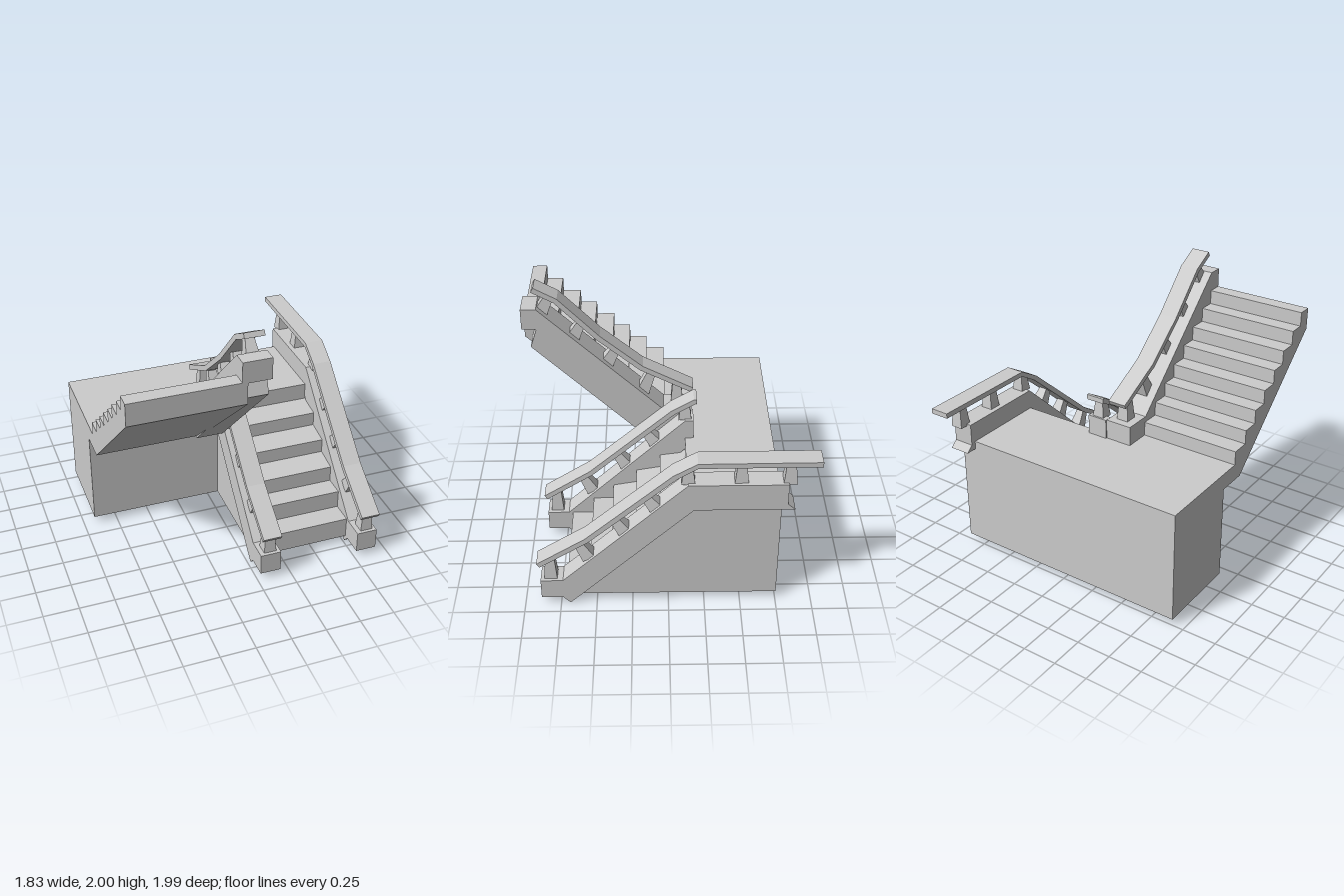
import * as THREE from 'three';

export function createModel() {
  const model = new THREE.Group();
  model.name = 'staircase';
  const stone = new THREE.MeshStandardMaterial({ color: 0xcccccc, flatShading: true });
  stone.name = 'grey stone';

  // Extrudes a [z, y] side profile from x0 to x1.
  function slab(name, profile, x0, x1) {
    const shape = new THREE.Shape(profile.map(([z, y]) => new THREE.Vector2(-z, y)));
    const geo = new THREE.ExtrudeGeometry(shape, { depth: x1 - x0, bevelEnabled: false });
    geo.rotateY(Math.PI / 2).translate(x0, 0, 0);
    const mesh = new THREE.Mesh(geo, stone);
    mesh.name = name;
    model.add(mesh);
  }

  // Handrail: a thin strip following the [z, y] points of its top.
  function rail(name, path, x0, x1) {
    const t = 0.037;
    const under = path.map(([z, y], i) => {
      const a = path[Math.max(i - 1, 0)], b = path[Math.min(i + 1, path.length - 1)];
      const dz = b[0] - a[0], dy = b[1] - a[1], l = Math.hypot(dz, dy);
      const s = dz < 0 ? 1 : -1;
      return [z + (s * dy / l) * -t, y + (s * dz / l) * t];
    });
    slab(name, [...path, ...under.reverse()], x0, x1);
  }

  // Tapered square baluster between two [z, y] points.
  function baluster(x, [z0, y0], [z1, y1]) {
    const dir = new THREE.Vector3(0, y1 - y0, z1 - z0);
    const geo = new THREE.CylinderGeometry(0.03 * Math.SQRT2, 0.046 * Math.SQRT2, dir.length(), 4);
    geo.rotateY(Math.PI / 4);
    const mesh = new THREE.Mesh(geo, stone);
    mesh.name = 'baluster';
    mesh.position.set(x, (y0 + y1) / 2, (z0 + z1) / 2);
    mesh.rotation.x = Math.atan2(dir.z, dir.y);
    model.add(mesh);
  }

  // Lower flight
  slab('lowerSteps', [
    [-0.4, 0.055], [0.70, 0.055], [0.70, 0.21], [0.54, 0.21], [0.54, 0.345], [0.39, 0.345],
    [0.39, 0.465], [0.22, 0.495], [0.22, 0.60], [0.05, 0.63], [0.05, 0.735],
    [-0.13, 0.76], [-0.13, 0.885], [-0.4, 0.885],
  ], 0.06, 0.875);

  // Landing
  slab('landing', [[-0.755, 0.055], [-0.13, 0.055], [-0.13, 0.885], [-0.755, 0.885]], -0.92, 0.875);

  // Upper flight rising to the front, with sloped underside
  const treads = [0.01, 0.145, 0.27, 0.39, 0.52, 0.64, 0.77, 0.885, 0.99];
  const upper = [[-0.13, 0.76], [-0.13, 0.885]];
  for (let i = 0; i < 8; i++) {
    const y = 0.885 + i * 0.103;
    upper.push([treads[i], y], [treads[i], y + 0.103]);
  }
  upper.push([0.99, 1.709], [0.99, 1.55], [0.09, 0.76]);
  slab('upperSteps', upper, -0.92, -0.14);

  // Stringers
  const foot = [[-0.17, 0.825], [0.685, 0.003], [0.735, 0.055], [0.885, 0.055],
    [0.885, 0.21], [0.73, 0.21], [-0.13, 1.03]];
  slab('leftStringer', [...foot, [-0.79, 1.03], [-0.79, 0.87], [-0.84, 0.825]], 0.762, 0.912);
  slab('innerStringer', [...foot, [-0.19, 1.03], [-0.19, 0.825]], 0.022, 0.172);
  slab('upperStringer', [[-0.18, 0.74], [-0.18, 1.03], [0.02, 1.03], [0.885, 1.85], [0.99, 1.85],
    [0.99, 1.70], [0.89, 1.695], [0.935, 1.56], [0.09, 0.74]], -0.178, 0.021);

  // Handrails
  const lowerRail = [[0.905, 0.363], [0.565, 0.583], [-0.03, 1.11], [-0.19, 1.205]];
  rail('leftHandrail', [...lowerRail, [-1.0, 1.21]], 0.775, 0.912);
  rail('innerHandrail', [...lowerRail, [-0.21, 1.205]], 0.03, 0.167);
  rail('upperHandrail', [[0.895, 2.0], [0.74, 1.915], [0.46, 1.625], [0.165, 1.378], [-0.19, 1.195]], -0.14, -0.003);

  // Balusters of the lower rails
  for (const x of [0.1, 0.843]) {
    baluster(x, [0.815, 0.205], [0.815, 0.39]);
    baluster(x, [0.545, 0.385], [0.617, 0.51]);
    baluster(x, [0.295, 0.615], [0.367, 0.72]);
    baluster(x, [0.085, 0.82], [0.155, 0.91]);
    baluster(x, [-0.13, 1.02], [-0.13, 1.15]);
  }
  baluster(0.843, [-0.48, 1.02], [-0.48, 1.18]);
  baluster(0.843, [-0.8, 1.015], [-0.8, 1.18]);

  // Balusters of the upper rail
  const up = [[-0.075, 1.02, -0.075, 1.22], [0.17, 1.14, 0.105, 1.3], [0.415, 1.39, 0.35, 1.5],
    [0.65, 1.59, 0.588, 1.7], [0.855, 1.8, 0.797, 1.91]];
  for (const [z0, y0, z1, y1] of up) baluster(-0.072, [z0, y0], [z1, y1]);

  return model;
}
